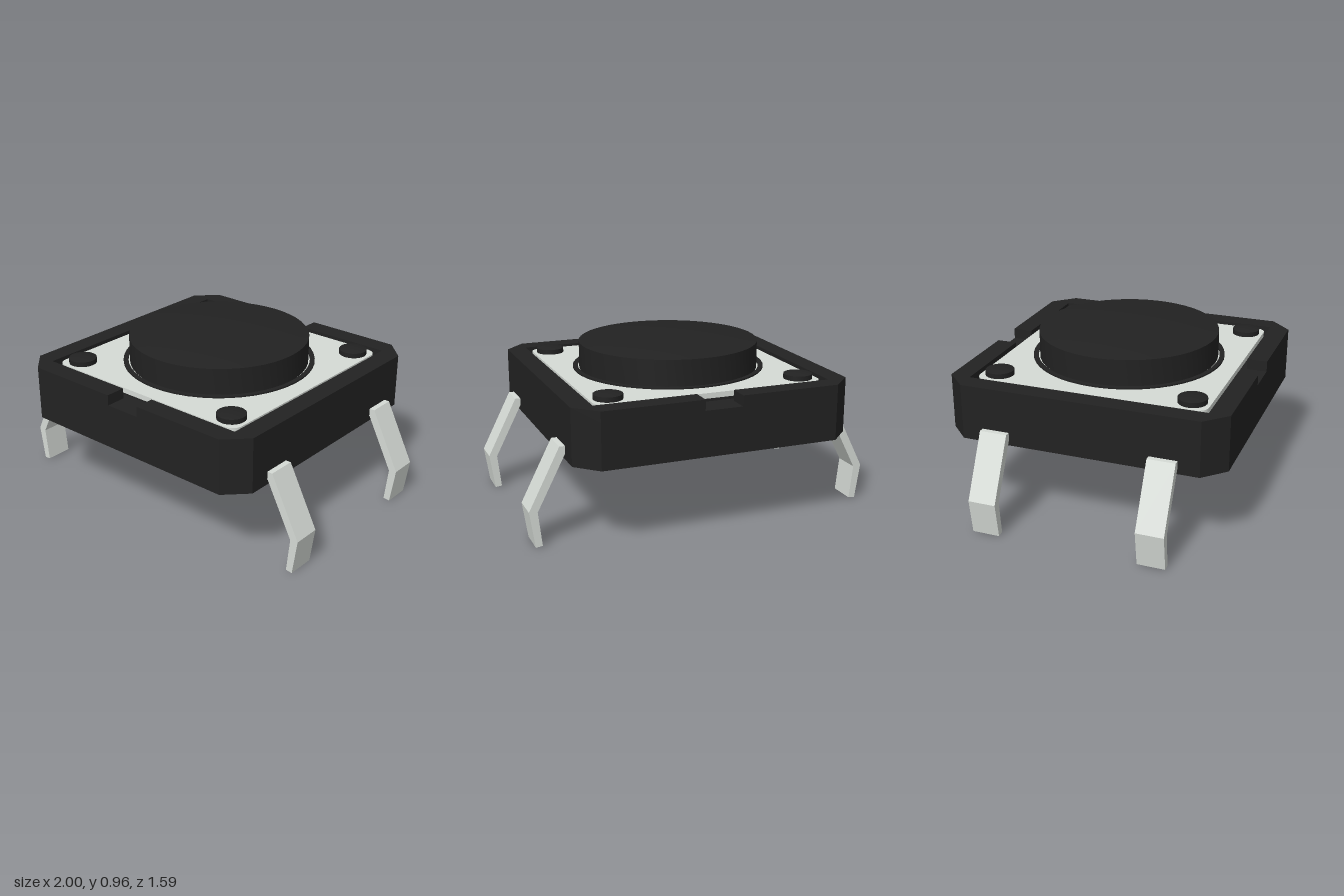
import * as THREE from 'three';
import { toCreasedNormals } from 'three/addons/utils/BufferGeometryUtils.js';

const black = new THREE.MeshStandardMaterial({ color: 0x222222 });
const metal = new THREE.MeshStandardMaterial({ color: 0xd6dbd6 });

function shapeOf(points) {
  return new THREE.Shape(points.map(([x, y]) => new THREE.Vector2(x, y)));
}

// Extrudes a plan-view shape upwards from y0 to y1
function slab(shape, y0, y1) {
  const g = new THREE.ExtrudeGeometry(shape, { depth: y1 - y0, bevelEnabled: false, curveSegments: 8 });
  return g.rotateX(-Math.PI / 2).translate(0, y0, 0);
}

function turned(profile, segments) {
  const g = new THREE.LatheGeometry(profile.map(([r, y]) => new THREE.Vector2(r, y)), segments);
  return toCreasedNormals(g, 0.6);
}

function roundedSquare(h, r) {
  const s = new THREE.Shape();
  s.moveTo(-h + r, -h);
  s.lineTo(h - r, -h);
  s.absarc(h - r, -h + r, r, -Math.PI / 2, 0);
  s.absarc(h - r, h - r, r, 0, Math.PI / 2);
  s.absarc(-h + r, h - r, r, Math.PI / 2, Math.PI);
  s.absarc(-h + r, -h + r, r, Math.PI, Math.PI * 1.5);
  return s;
}

export function createModel() {
  const model = new THREE.Group();
  const add = (name, geometry, material) => {
    const mesh = new THREE.Mesh(geometry, material);
    mesh.name = name;
    model.add(mesh);
    return mesh;
  };

  // Housing: chamfered base plus two C-shaped rims that leave the notches
  const H = 0.795, C = 0.675, P = 0.68, N = 0.107, floorY = 0.725, rimY = 0.785;
  const octagon = [[C, -H], [H, -C], [H, C], [C, H], [-C, H], [-H, C], [-H, -C], [-C, -H]];
  add('housingBase', slab(shapeOf(octagon), 0.47, floorY), black);
  const rim = [[N, -H], [C, -H], [H, -C], [H, C], [C, H], [N, H], [N, P], [P, P], [P, -P], [N, -P]];
  for (const side of [1, -1]) {
    const mesh = add(side > 0 ? 'leftRim' : 'rightRim', slab(shapeOf(rim), floorY, rimY), black);
    if (side < 0) mesh.rotation.y = Math.PI;
  }

  // Metal cover plate on a dark support
  add('plateSupport', slab(roundedSquare(0.64, 0.05), floorY, 0.746), black);
  add('coverPlate', slab(roundedSquare(0.658, 0.06), 0.746, 0.776), metal);

  // Collar around the button
  add('collar', turned([[0.527, 0.77], [0.555, 0.77], [0.555, 0.784], [0.527, 0.784], [0.527, 0.77]], 48), black);

  // Push button with a shallow domed top
  const button = [[0.518, 0.765], [0.518, 0.93]];
  for (let i = 1; i <= 8; i++) {
    const t = 1 - i / 8;
    button.push([0.518 * t, 0.96 - 0.03 * t * t]);
  }
  add('button', turned(button, 48), black);

  // Corner rivets
  const rivet = turned([[0.08, 0.765], [0.08, 0.804], [0.055, 0.81], [0.028, 0.813], [0, 0.814]], 24);
  for (const x of [-0.557, 0.557]) {
    for (const z of [-0.557, 0.557]) {
      add('rivet', rivet, black).position.set(x, 0, z);
    }
  }

  // Bent terminal legs
  const profile = shapeOf([
    [0.76, 0.545], [0.76, 0.5], [0.797, 0.5], [0.953, 0.197], [0.932, 0.005],
    [0.97, 0], [1, 0.203], [0.826, 0.545],
  ]);
  const leg = new THREE.ExtrudeGeometry(profile, { depth: 0.157, bevelEnabled: false });
  leg.translate(0, 0, -0.0785);
  for (const side of [1, -1]) {
    for (const z of [-0.477, 0.477]) {
      const mesh = add(side > 0 ? 'leftLeg' : 'rightLeg', leg, metal);
      mesh.position.z = z;
      if (side < 0) mesh.rotation.y = Math.PI;
    }
  }
  return model;
}
